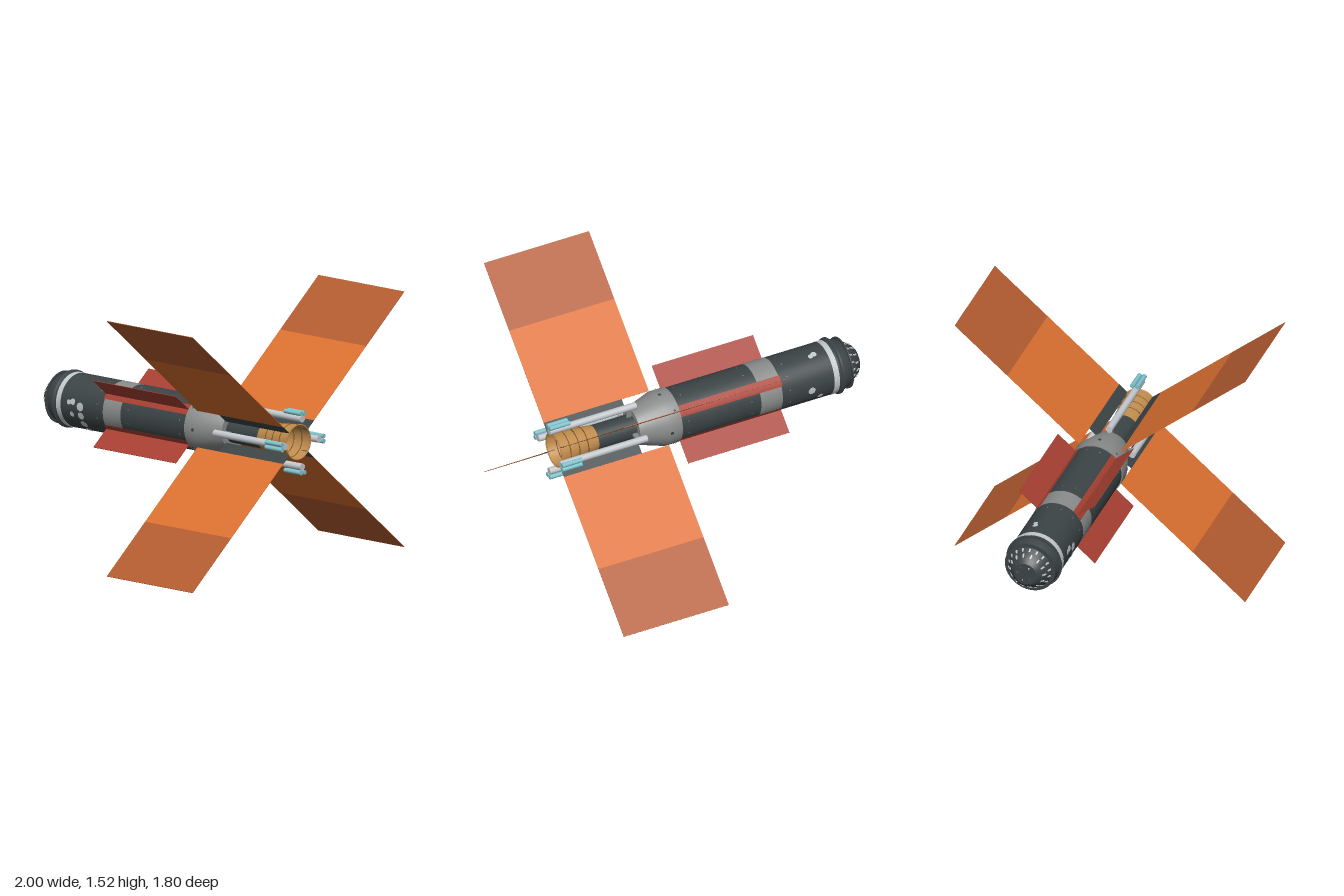
import * as THREE from 'three';
import { toCreasedNormals } from 'three/addons/utils/BufferGeometryUtils.js';

const mat = (name, color, side = THREE.FrontSide) => {
  const m = new THREE.MeshStandardMaterial({ color, side });
  m.name = name;
  return m;
};

export function createModel() {
  const dark = mat('charcoal', 0x3c4446, THREE.DoubleSide);
  const grey = mat('grey', 0x8a8c8b);
  const light = mat('lightGrey', 0xc4c9ce);
  const red = mat('red', 0xa84032);
  const orange = mat('orange', 0xdb7030);
  const rust = mat('rust', 0xb45c30);
  const tan = mat('tan', 0xc08c4c, THREE.DoubleSide);
  const brown = mat('brown', 0x7a5228);
  const cyan = mat('cyan', 0x7fc4cd);

  // Everything is laid out around the hull axis, which runs along x
  const hull = new THREE.Group();
  hull.name = 'spacecraft';
  hull.position.y = 0.76;
  const R = 0.16;
  const rad = THREE.MathUtils.degToRad;

  const add = (name, geo, material, parent = hull) => {
    const m = new THREE.Mesh(geo, material);
    m.name = name;
    parent.add(m);
    return m;
  };
  // Turned part from [x, radius] pairs
  const turned = (name, pts, material) => add(name, toCreasedNormals(
    new THREE.LatheGeometry(pts.map(([x, r]) => new THREE.Vector2(r, x)), 40).rotateZ(-Math.PI / 2), 0.5), material);
  const rod = (name, x0, x1, r, y, z, material, parent, sides = 16) => add(name,
    new THREE.CylinderGeometry(r, r, x1 - x0, sides).rotateZ(-Math.PI / 2).translate((x0 + x1) / 2, y, z), material, parent);
  // Box whose local +z points outwards at an angle round the hull
  const radialGroup = (name, a) => {
    const g = new THREE.Group();
    g.name = name;
    g.rotation.x = -a;
    hull.add(g);
    return g;
  };
  const plate = (name, x0, x1, r0, r1, t, material, parent) => add(name,
    new THREE.BoxGeometry(x1 - x0, t, r1 - r0).translate((x0 + x1) / 2, 0, (r0 + r1) / 2), material, parent);
  // Thin spot wrapped on the hull
  const spot = (name, x, deg, size, material, r = R + 0.003) => {
    const g = new THREE.CircleGeometry(size, 8);
    const p = g.attributes.position;
    for (let i = 0; i < p.count; i++) {
      const a = rad(deg) + p.getY(i) / r;
      p.setXYZ(i, x + p.getX(i), r * Math.sin(a), r * Math.cos(a));
    }
    g.computeVertexNormals();
    add(name, g, material);
  };

  // Nose and main hull sections
  turned('nose', [[-1, 0], [-1, 0.07], [-0.985, 0.09], [-0.95, 0.115], [-0.917, 0.133], [-0.917, 0.156],
    [-0.909, 0.156], [-0.909, 0.142], [-0.86, 0.16], [-0.85, 0.16]], dark);
  turned('noseFlange', [[-0.852, 0.155], [-0.852, 0.171], [-0.842, 0.171], [-0.835, 0.16]], dark);
  turned('forwardHull', [[-0.85, R], [-0.45, R]], dark);
  turned('whiteBand', [[-0.822, R], [-0.822, R + 0.002], [-0.788, R + 0.002], [-0.788, R]], light);
  turned('greyBand', [[-0.45, R], [-0.45, R + 0.001], [-0.31, R + 0.001], [-0.31, R]], grey);
  turned('midHull', [[-0.45, R], [0.21, R]], dark);
  turned('collar', [[0.205, R], [0.205, 0.166], [0.29, 0.166], [0.455, 0.112], [0.455, 0.06]], grey);

  // Light dashes over the nose
  [[-0.967, 0.105, 14, 0.026], [-0.934, 0.1255, 18, 0.022]].forEach(([x, r, n, len], row) => {
    for (let i = 0; i < n; i++) {
      const g = radialGroup('noseDash', (i + row * 0.4) / n * Math.PI * 2);
      const d = add('dash', new THREE.BoxGeometry(len, 0.009, 0.006), light, g);
      d.position.set(x, 0, r);
      d.rotation.y = -0.6;
    }
  });
  for (let i = 0; i < 6; i++) {
    const a = i / 6 * Math.PI * 2;
    rod('noseStud', -1, -0.985, 0.009, 0.045 * Math.sin(a), 0.045 * Math.cos(a), light, hull, 8);
  }

  // Light spots on the forward hull
  [[-0.63, 2, 0.027], [-0.63, -18, 0.024], [-0.63, -39, 0.026], [-0.63, -60, 0.024], [-0.72, 8, 0.016],
    [-0.69, 10, 0.02], [-0.7, -17, 0.017], [-0.71, 105, 0.018], [-0.685, 108, 0.015],
    [-0.64, 182, 0.024], [-0.7, 205, 0.018], [-0.64, 235, 0.024]]
    .forEach(([x, a, s]) => spot('lightSpot', x, a, s, light));

  // Small dark ports on the collar
  for (let i = 0; i < 8; i++) spot('collarPort', i % 2 ? 0.235 : 0.275, i * 45, i % 2 ? 0.007 : 0.011, dark, 0.169);

  // Raised row of rivets along the hull seams
  [-0.5, -0.25, 0.16].forEach(x => {
    for (let i = 0; i < 12; i++) spot('rivet', x, i * 30 + 15, 0.004, grey, R + 0.002);
  });

  // Four fins and four large panels, all radial
  const tilt = Math.atan2(0.76, 0.9);
  [tilt, Math.PI - tilt, Math.PI + tilt, -tilt].forEach(a => {
    const g = radialGroup('wingSet', a);
    plate('redFin', -0.455, 0.205, 0.155, 0.307, 0.003, red, g);
    const w = 0.21;
    add('finFairing', new THREE.CylinderGeometry(0.164, 0.164, 0.66, 8, 1, true, -w, 2 * w)
      .rotateZ(-Math.PI / 2).translate(-0.125, 0, 0), red, g);
    plate('panelRoot', 0.455, 0.963, 0.1, 0.17, 0.004, dark, g);
    plate('innerPanel', 0.278, 0.963, 0.17, 0.75, 0.003, orange, g);
    plate('outerPanel', 0.278, 0.963, 0.75, 1.176, 0.003, rust, g);
  });

  // Engine core and ribbed hollow bell
  rod('engineCore', 0.44, 0.72, 0.076, 0, 0, dark, hull, 32);
  turned('engineBell', [[0.705, 0.077], [0.76, 0.086], [0.85, 0.095], [0.965, 0.104]], tan);
  [[0.78, 0.0885], [0.84, 0.0945], [0.9, 0.099]].forEach(([x, r]) => add('bellRib',
    new THREE.TorusGeometry(r, 0.003, 6, 40).rotateY(Math.PI / 2).translate(x, 0, 0), brown));
  add('bellLip', new THREE.TorusGeometry(0.103, 0.004, 6, 40).rotateY(Math.PI / 2).translate(0.962, 0, 0), tan);

  // Four thruster booms with paired nozzles
  for (let i = 0; i < 4; i++) {
    const g = radialGroup('thrusterBoom', i * Math.PI / 2);
    rod('boomTube', 0.43, 0.995, 0.021, 0, 0.143, light, g);
    plate('boomBracket', 0.46, 0.49, 0.07, 0.14, 0.012, grey, g);
    [-1, 1].forEach(s => rod('thruster', 0.87, 1, 0.014, s * 0.015, 0.176, cyan, g, 12));
  }

  const model = new THREE.Group();
  model.name = 'model';
  model.add(hull);
  return model;
}
